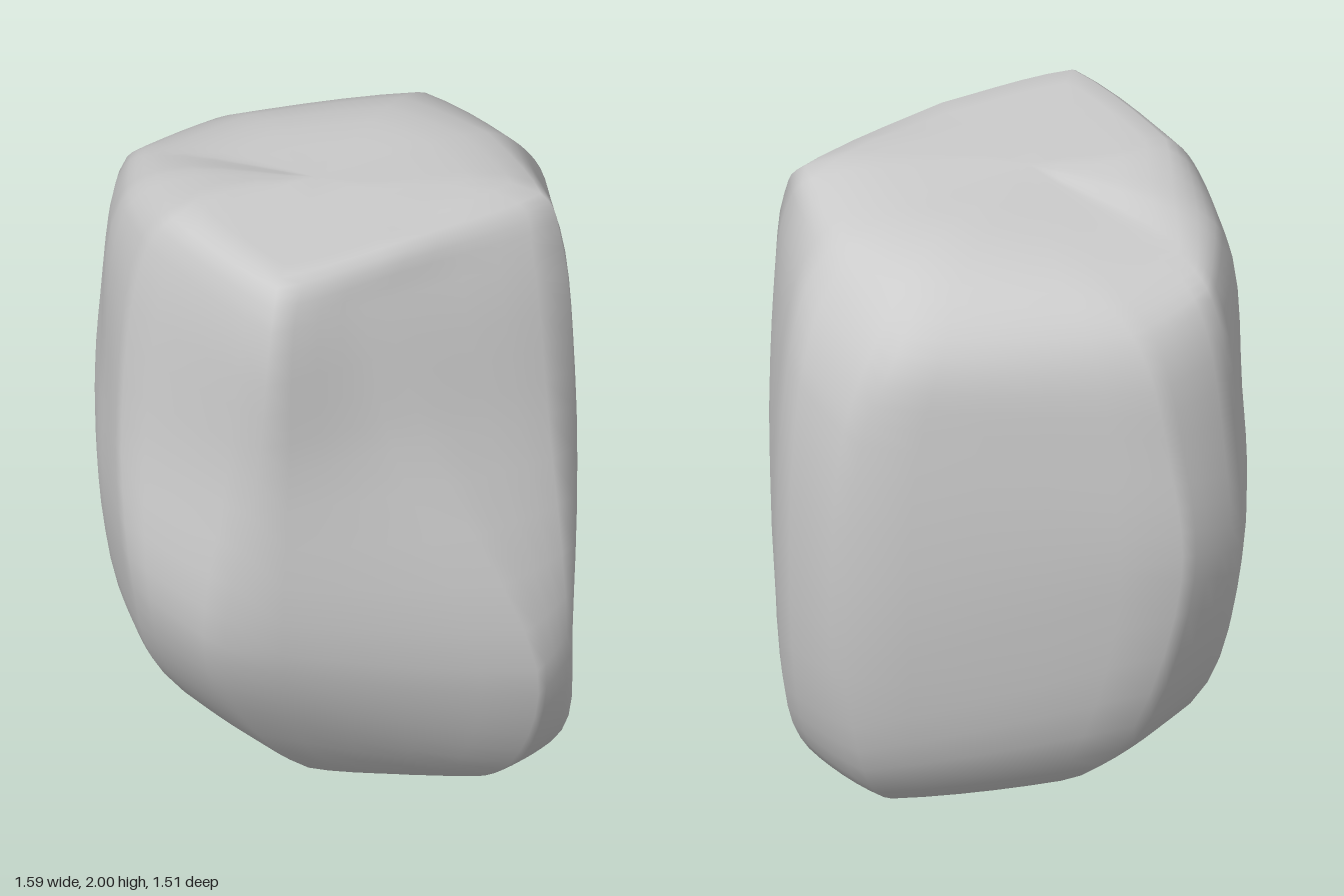
import * as THREE from 'three';
import { mergeVertices } from 'three/addons/utils/BufferGeometryUtils.js';

const STEPS = 5; // subdivisions between neighbouring control points
const TOP = new THREE.Vector3(0, 2, 0.1), BASE = new THREE.Vector3(0.11, 0, -0.22);
const FOOT = new THREE.Vector3(0.11, 0.045, -0.12), FOOT_RADIUS = 0.31;

// A ridge runs from the crown down to a round foot, straight in from its lowest point
function ridge(...points) {
  const path = points.map((p) => new THREE.Vector3(...p));
  const foot = path[path.length - 1].clone().sub(FOOT).setY(0).setLength(FOOT_RADIUS).add(FOOT);
  return new THREE.CatmullRomCurve3([TOP, ...path, foot, BASE]);
}

function createRockGeometry() {
  // Ridges between the broad facets, in order around the rock (x, y, z)
  const ridges = [
    // back right
    ridge([0.41, 1.96, -0.40], [0.50, 1.82, -0.41], [0.62, 1.35, -0.36], [0.76, 0.7, -0.25], [0.68, 0.28, -0.27]),
    // right side, leaning back towards the base
    ridge([0.41, 2, 0.08], [0.46, 1.86, 0.18], [0.57, 1.4, 0.13], [0.79, 0.62, -0.10], [0.64, 0.21, -0.12]),
    // front right
    ridge([0.34, 2, 0.49], [0.39, 1.86, 0.56], [0.37, 1.35, 0.60], [0.31, 0.76, 0.67], [0.23, 0.40, 0.53]),
    // front
    ridge([-0.10, 1.99, 0.51], [-0.16, 1.87, 0.59], [-0.15, 1.3, 0.69], [-0.03, 0.82, 0.74], [-0.08, 0.42, 0.59]),
    // front left bulge
    ridge([-0.33, 1.95, 0.38], [-0.42, 1.84, 0.49], [-0.43, 1.3, 0.55], [-0.38, 0.85, 0.59], [-0.32, 0.38, 0.48]),
    // front left
    ridge([-0.50, 1.89, 0.28], [-0.64, 1.80, 0.30], [-0.73, 1.35, 0.32], [-0.73, 0.9, 0.33], [-0.53, 0.36, 0.30]),
    // left side
    ridge([-0.48, 1.90, -0.02], [-0.68, 1.75, 0.02], [-0.77, 1.4, 0.06], [-0.80, 1.0, 0.08], [-0.62, 0.36, -0.02]),
    // back left
    ridge([-0.23, 1.95, -0.38], [-0.34, 1.78, -0.60], [-0.32, 1.5, -0.71], [-0.28, 0.7, -0.73], [-0.22, 0.25, -0.61]),
    // back
    ridge([0.06, 1.95, -0.47], [0.08, 1.84, -0.60], [0.04, 1.57, -0.72], [0.05, 0.65, -0.735], [0.10, 0.25, -0.63]),
  ];
  const rows = 7 * STEPS, n = ridges.length, cols = n * STEPS;
  const positions = [], index = [];

  for (let i = 0; i <= rows; i++) {
    // Loop around the rock: mostly straight between ridges, so facets stay flat
    const corners = ridges.map((r) => r.getPoint(i / rows));
    const loop = new THREE.CatmullRomCurve3(corners, true);
    for (let j = 0; j < cols; j++) {
      const k = Math.floor(j / STEPS), f = (j % STEPS) / STEPS;
      const straight = corners[k].clone().lerp(corners[(k + 1) % n], f);
      const p = loop.getPoint(j / cols).lerp(straight, 0.65);
      positions.push(p.x, THREE.MathUtils.clamp(p.y, 0, 2), p.z);
      if (i < rows) {
        const a = i * cols + j, c = i * cols + (j + 1) % cols;
        index.push(a, c, a + cols, c, c + cols, a + cols);
      }
    }
  }
  const geometry = new THREE.BufferGeometry();
  geometry.setAttribute('position', new THREE.Float32BufferAttribute(positions, 3));
  geometry.setIndex(index);
  const merged = mergeVertices(geometry, 1e-4); // joins the crown and base points
  merged.computeVertexNormals();
  return merged;
}

export function createModel() {
  const group = new THREE.Group();
  group.name = 'boulder';
  const rock = new THREE.Mesh(createRockGeometry(), new THREE.MeshStandardMaterial({ color: 0xcccccc }));
  rock.name = 'rock';
  group.add(rock);
  return group;
}
